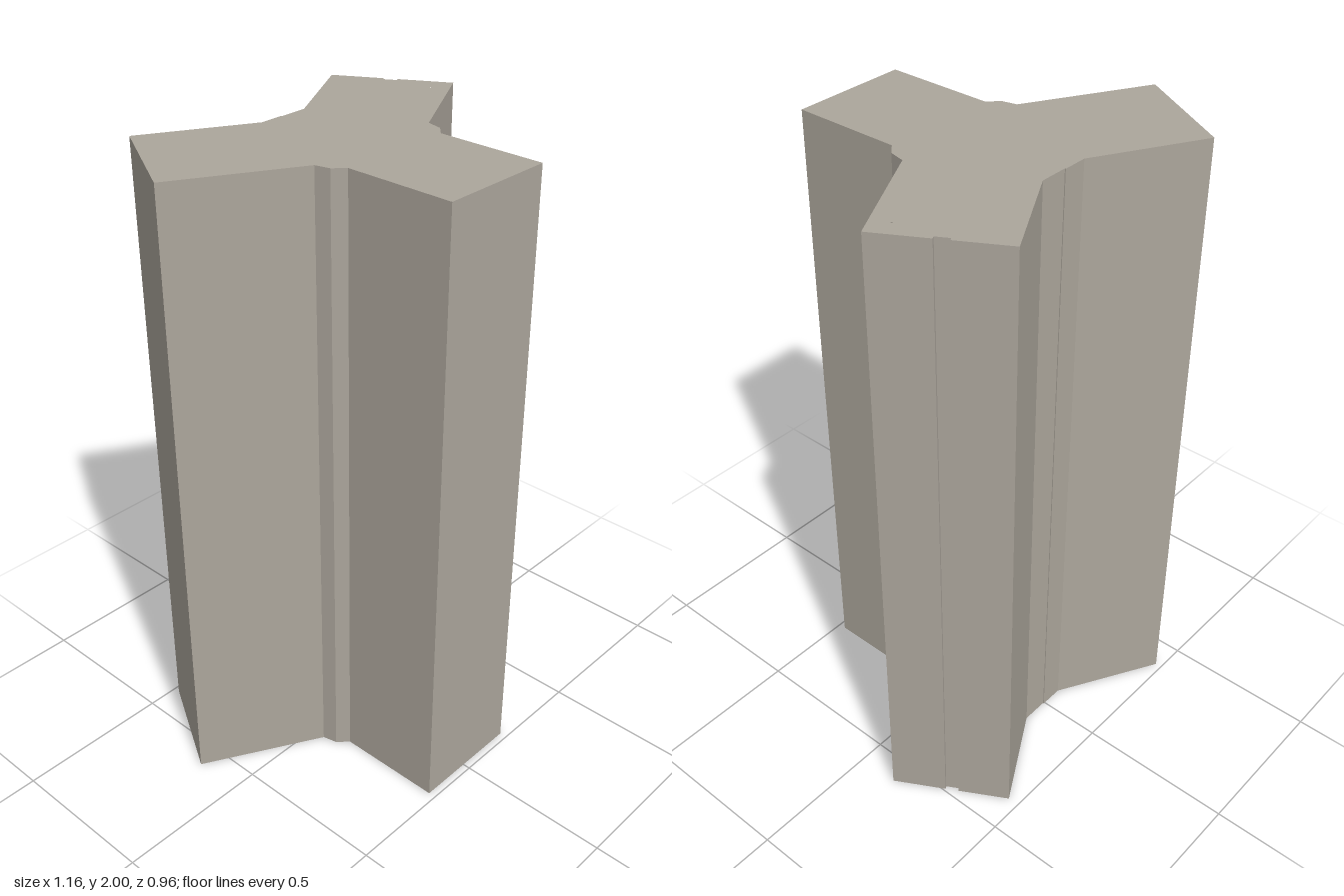
import * as THREE from 'three';

export function createModel() {
  const group = new THREE.Group();
  group.name = 'threeWingTower';
  const stone = new THREE.MeshStandardMaterial({ color: 0xaca69c });
  stone.name = 'warm grey stone';

  // Footprint as [x, z], wing by wing
  const footprint = [
    // right rear wing and back wall
    [-0.582, -0.157], [-0.397, -0.479], [-0.072, -0.296], [0.005, -0.296], [0.005, -0.293], [0.094, -0.293],
    // left rear wing with the notch in its end wall
    [0.389, -0.463], [0.471, -0.322], [0.463, -0.316], [0.484, -0.28], [0.493, -0.285], [0.579, -0.136],
    // left inner corner
    [0.242, 0.051], [0.23, 0.102], [0.197, 0.132],
    // front wing
    [0.197, 0.476], [-0.174, 0.476],
    // right inner corner
    [-0.174, 0.13], [-0.207, 0.098], [-0.218, 0.051],
  ];
  const toShape = ([x, z]) => new THREE.Vector2(x, -z);
  const shape = new THREE.Shape(footprint.map(toShape));

  // Narrow shaft in the left rear wing
  const shaft = [[0.497, -0.161], [0.501, -0.161], [0.501, -0.156], [0.497, -0.156]];
  shape.holes.push(new THREE.Path(shaft.map(toShape)));

  // Extrude the footprint upwards
  const geometry = new THREE.ExtrudeGeometry(shape, { depth: 2, bevelEnabled: false });
  geometry.rotateX(-Math.PI / 2);
  const tower = new THREE.Mesh(geometry, stone);
  tower.name = 'towerBody';
  group.add(tower);
  return group;
}
